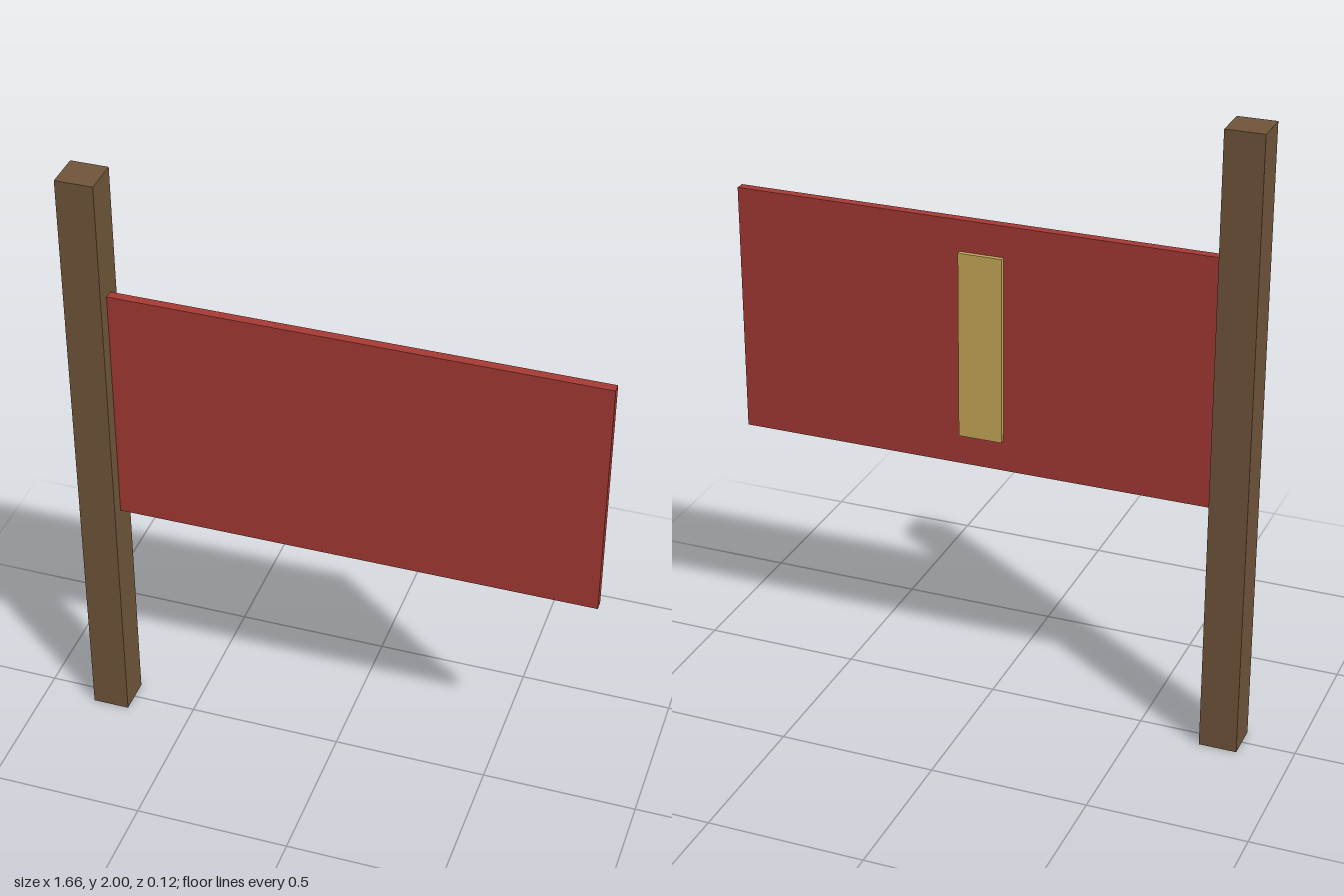
import * as THREE from 'three';

const material = (name, color) => Object.assign(new THREE.MeshStandardMaterial({ color }), { name });

export function createModel() {
  const wood = material('brown wood', 0x70553a);
  const cloth = material('red cloth', 0xa63a34);
  const gold = material('gold', 0xc9a959);

  const model = new THREE.Group();
  model.name = 'bannerOnPost';

  // Box given by its size and centre
  const addBox = (name, mat, size, centre) => {
    const mesh = new THREE.Mesh(new THREE.BoxGeometry(...size), mat);
    mesh.name = name;
    mesh.position.set(...centre);
    model.add(mesh);
  };

  // Square upright post
  addBox('post', wood, [0.12, 2, 0.12], [-0.77, 1, 0]);
  // Flat banner, set into the middle of the post
  addBox('banner', cloth, [1.6, 0.8, 0.03], [0.03, 1.2, 0]);
  // Raised vertical stripe on the back of the banner
  addBox('backStripe', gold, [0.14, 0.6, 0.016], [0.03, 1.2, -0.022]);

  return model;
}
